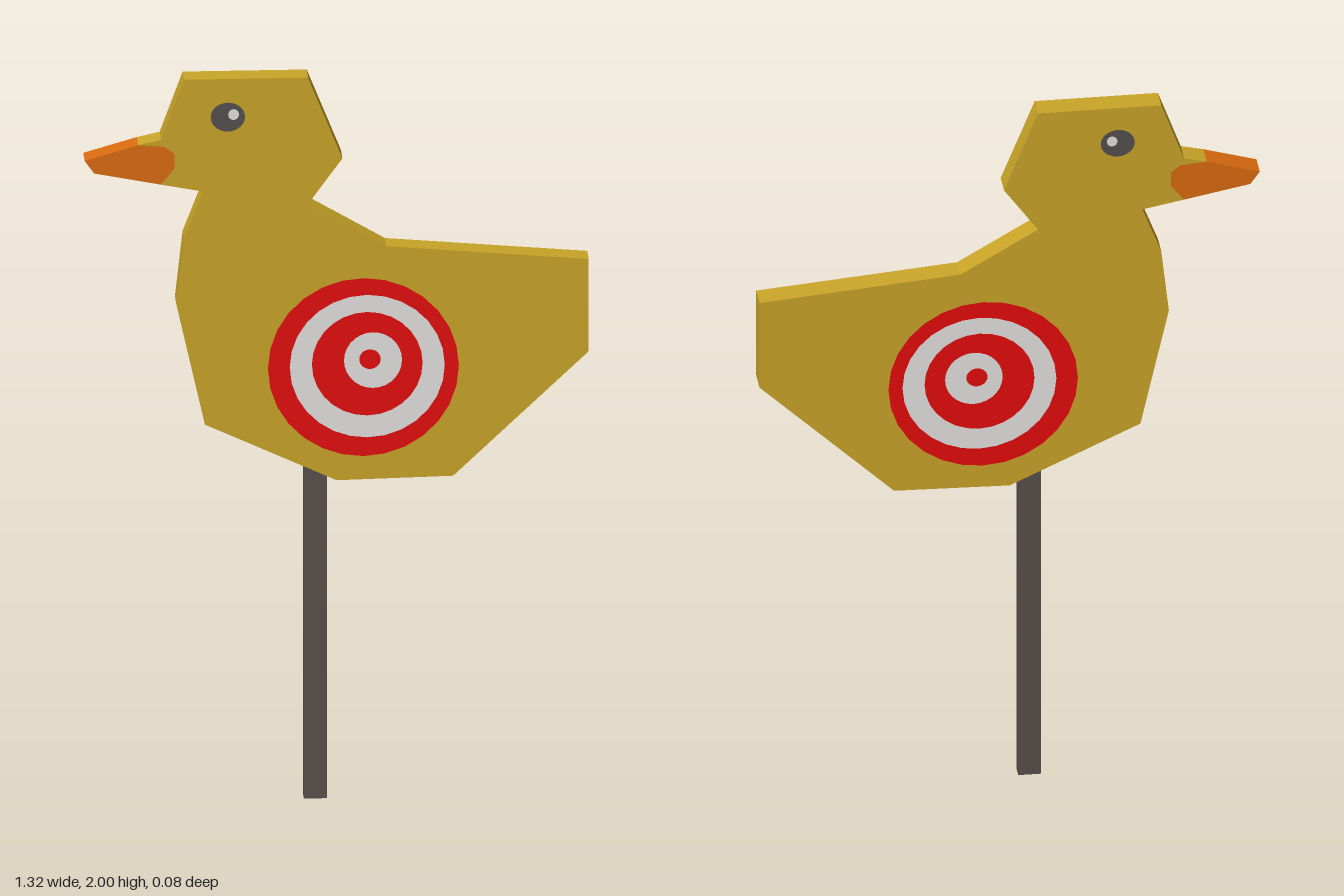
import * as THREE from 'three';

const flat = (name, color) => {
  const m = new THREE.MeshStandardMaterial({ color });
  m.name = name;
  return m;
};

const HALF = 0.033; // half the board thickness

export function createModel() {
  const yellow = flat('yellow paint', 0xcba628);
  const orange = flat('orange paint', 0xdc6c10);
  const red = flat('red paint', 0xf00c0c);
  const white = flat('white paint', 0xf4f0f0);
  const eyeGrey = flat('dark eye', 0x555050);
  const postGrey = flat('post grey brown', 0x5a504c);

  const group = new THREE.Group();
  group.name = 'duckTarget';

  const add = (name, geometry, material) => {
    const mesh = new THREE.Mesh(geometry, material);
    mesh.name = name;
    group.add(mesh);
    return mesh;
  };

  // flat board cut from an outline, centred on z = 0
  const board = (name, points, material) => {
    const shape = new THREE.Shape(points.map(([x, y]) => new THREE.Vector2(x, y)));
    const geometry = new THREE.ExtrudeGeometry(shape, { depth: HALF * 2, bevelEnabled: false });
    geometry.translate(0, 0, -HALF);
    add(name, geometry, material);
  };

  // seam where the orange bill meets the yellow head, top to bottom
  const seam = [[-0.52, 1.821], [-0.45, 1.815], [-0.425, 1.795], [-0.425, 1.755], [-0.46, 1.711]];

  // body and head in one piece
  board('body', [
    [-0.46, 1.835], [-0.4, 2], [-0.075, 2], [0.015, 1.775], [-0.075, 1.65],
    [0.13, 1.53], [0.66, 1.485], [0.66, 1.23], [0.305, 0.892], [0, 0.885],
    [-0.345, 1.045], [-0.42, 1.38], [-0.4, 1.56], [-0.35, 1.69],
    ...[...seam].reverse(),
  ], yellow);

  // bill
  board('bill', [...seam, [-0.635, 1.745], [-0.66, 1.78]], orange);

  // painted spots on both faces: name, x, y, radius x, radius y, layer, material
  const spots = [
    ['targetOuterRed', 0.07, 1.197, 0.25, 0.246, 1, red],
    ['targetOuterWhite', 0.08, 1.2, 0.203, 0.197, 2, white],
    ['targetInnerRed', 0.08, 1.207, 0.145, 0.143, 3, red],
    ['targetInnerWhite', 0.095, 1.217, 0.076, 0.077, 4, white],
    ['targetBullseye', 0.087, 1.22, 0.028, 0.027, 5, red],
    ['eye', -0.285, 1.895, 0.045, 0.04, 1, eyeGrey],
    ['eyeGlint', -0.27, 1.902, 0.014, 0.015, 2, white],
  ];
  for (const [name, x, y, rx, ry, layer, material] of spots) {
    for (const side of [1, -1]) {
      const geometry = new THREE.CircleGeometry(1, 28);
      geometry.scale(rx, ry, 1);
      if (side < 0) geometry.rotateY(Math.PI);
      const spot = add(name + (side > 0 ? 'Front' : 'Back'), geometry, material);
      spot.position.set(x, y, side * (HALF + layer * 0.001));
    }
  }

  // post, set into the underside of the body
  const post = add('post', new THREE.BoxGeometry(0.06, 0.96, 0.032), postGrey);
  post.position.set(-0.055, 0.48, 0);

  return group;
}
